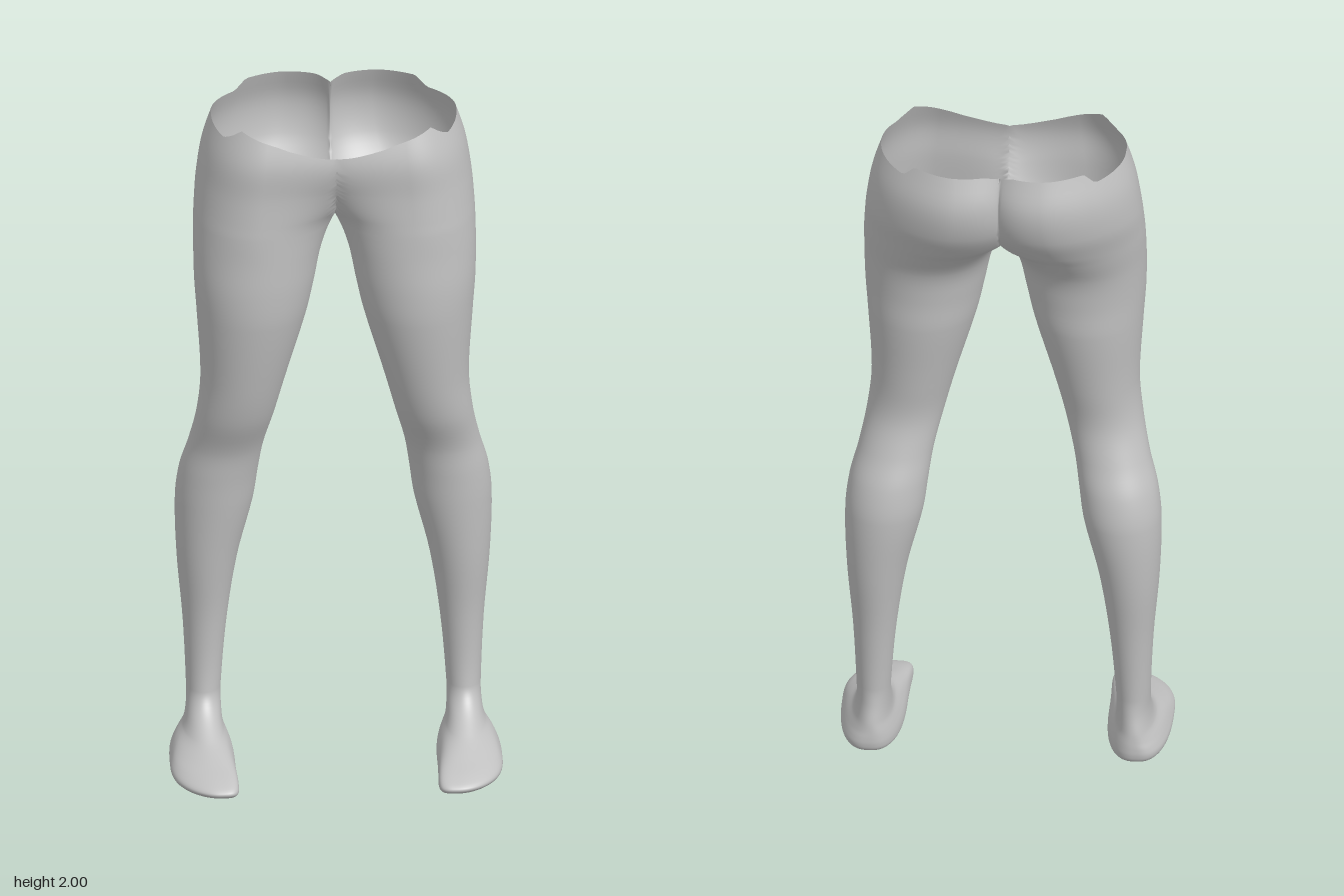
import * as THREE from 'three';
import { mergeVertices } from 'three/addons/utils/BufferGeometryUtils.js';

// Horizontal sections of the left leg, top to bottom:
// [y, outer x, inner x, front z, back z, centre x, centre z, inner x at back, back shift, front shift, squareness]
const HIPS = [
  [2.0, 0.338, -0.40, 0.125, -0.275, 0.19, -0.06, -0.05, -0.07],
  [1.9, 0.37, -0.40, 0.158, -0.305, 0.20, -0.06, -0.06, -0.08],
  [1.8, 0.387, -0.15, 0.16, -0.29, 0.21, -0.05, -0.06, -0.08],
  [1.72, 0.394, -0.03, 0.165, -0.245, 0.215, -0.03, -0.04, -0.06],
  [1.68, 0.396, 0.004, 0.168, -0.215, 0.218, -0.02, 0.004, -0.035],
];
const LEG = [
  [1.6, 0.397, 0.037, 0.171, -0.17],
  [1.5, 0.395, 0.058, 0.175, -0.153],
  [1.4, 0.388, 0.08, 0.17, -0.148],
  [1.2, 0.377, 0.138, 0.137, -0.12],
  [1.08, 0.388, 0.17, 0.108, -0.11],
  [0.97, 0.41, 0.198, 0.064, -0.137],
  [0.88, 0.434, 0.212, 0.05, -0.17],
  [0.78, 0.445, 0.226, 0.04, -0.186],
  [0.6, 0.44, 0.27, 0.02, -0.175],
  [0.4, 0.423, 0.30, -0.004, -0.148],
  [0.2, 0.414, 0.317, -0.002, -0.13],
];
const FOOT = [
  [0.15, 0.415, 0.317, 0.03, -0.133, 0.366, -0.05],
  [0.1, 0.425, 0.312, 0.115, -0.143, 0.37, -0.02, 0.312, 0, -0.01, 2.1],
  [0.07, 0.448, 0.297, 0.2, -0.147, 0.37, 0.04, 0.297, 0, -0.03, 2.3],
  [0.05, 0.46, 0.288, 0.265, -0.149, 0.375, 0.08, 0.288, 0, -0.045, 2.5],
  [0.03, 0.467, 0.284, 0.305, -0.149, 0.378, 0.1, 0.284, 0, -0.05, 2.6],
  [0.012, 0.46, 0.287, 0.295, -0.143, 0.377, 0.1, 0.287, 0, -0.05, 2.6],
  [0, 0.435, 0.305, 0.255, -0.125, 0.372, 0.09, 0.305, 0, -0.045, 2.6],
];

// Fill the optional values of a section
const KEYS = [...HIPS, ...LEG, ...FOOT].map(
  ([y, xo, xi, zf, zb, cx = (xo + xi) / 2, cz = (zf + zb) / 2, xb = xi, bs = 0, fs = 0, n = 2]) =>
    [y, xo, xi, zf, zb, cx, cz, xb, bs, fs, n]);

// Height of the wavy waist edge by angle around the hips (degrees, front = 90)
const RIM = [[-90, 1.98], [-80, 1.995], [-36, 2], [-30, 1.968], [0, 1.98], [22, 1.962],
  [27, 1.975], [32, 1.995], [58, 1.943], [75, 1.925], [90, 1.92]];

function rimHeight(x, z) {
  const a = THREE.MathUtils.radToDeg(Math.atan2(z + 0.06, x));
  for (let i = 1; i < RIM.length; i++) {
    const [a0, y0] = RIM[i - 1], [a1, y1] = RIM[i];
    if (a <= a1) return y0 + (y1 - y0) * Math.max(0, (a - a0) / (a1 - a0));
  }
  return RIM[RIM.length - 1][1];
}

// Smooth interpolation of the sections at height y
function sectionAt(y) {
  let i = 0;
  while (i < KEYS.length - 2 && y < KEYS[i + 1][0]) i++;
  const A = KEYS[i], B = KEYS[i + 1];
  const P = KEYS[Math.max(i - 1, 0)], Q = KEYS[Math.min(i + 2, KEYS.length - 1)];
  const h = B[0] - A[0], t = (y - A[0]) / h, t2 = t * t, t3 = t2 * t;
  return A.map((a, k) => {
    const b = B[k];
    const ma = (b - P[k]) / (B[0] - P[0]) * h, mb = (Q[k] - a) / (Q[0] - A[0]) * h;
    return (2 * t3 - 3 * t2 + 1) * a + (t3 - 2 * t2 + t) * ma + (3 * t2 - 2 * t3) * b + (t3 - t2) * mb;
  });
}

// Point on a section; the half body stops at the middle plane
function pointAt(y, angle) {
  const [, xo, xi, zf, zb, cx, cz, xb, bs, fs, n] = sectionAt(y);
  const c = Math.cos(angle), s = Math.sin(angle);
  const pc = Math.abs(c) ** (2 / n), ps = Math.abs(s) ** (2 / n);
  const inner = s >= 0 ? xi : xb;
  const x = cx + (c >= 0 ? xo - cx : inner - cx) * pc + (s >= 0 ? fs : bs) * s * s;
  const z = cz + (s >= 0 ? zf - cz : zb - cz) * ps;
  return [Math.max(0, x), y, z];
}

function bodyGeometry() {
  const COLS = 120, STEPS = 5, positions = [], index = [];
  const heights = [];
  for (let k = 0; k < KEYS.length - 1; k++)
    for (let s = 0; s < STEPS; s++) heights.push(KEYS[k][0] + (KEYS[k + 1][0] - KEYS[k][0]) * s / STEPS);
  heights.push(0);

  for (const side of [1, -1]) {
    const base = positions.length / 3;
    const add = (p) => positions.push(side * p[0], p[1], p[2]);
    const tri = (a, b, c) => {
      // Leave the middle plane open so both halves join
      if ([a, b, c].every((v) => Math.abs(positions[v * 3]) < 1e-6)) return;
      if (side > 0) index.push(a, b, c); else index.push(a, c, b);
    };
    for (const y0 of heights)
      for (let j = 0; j < COLS; j++) {
        const angle = (j / COLS) * Math.PI * 2;
        let y = y0;
        if (y0 > 1.8) {
          const [x, , z] = pointAt(1.97, angle);
          y = 1.8 + (y0 - 1.8) / 0.2 * (rimHeight(x, z) - 1.8);
        }
        add(pointAt(y, angle));
      }
    for (let i = 0; i < heights.length - 1; i++)
      for (let j = 0; j < COLS; j++) {
        const j1 = (j + 1) % COLS;
        const a = base + i * COLS + j, b = base + i * COLS + j1;
        tri(a, b, a + COLS);
        tri(b, b + COLS, a + COLS);
      }
    // Sole, slightly arched
    const last = base + (heights.length - 1) * COLS, centre = positions.length / 3;
    add([0.365, 0.006, 0.06]);
    for (let j = 0; j < COLS; j++) tri(last + j, last + (j + 1) % COLS, centre);
  }

  const geometry = new THREE.BufferGeometry();
  geometry.setAttribute('position', new THREE.Float32BufferAttribute(positions, 3));
  geometry.setIndex(index);
  const merged = mergeVertices(geometry, 1e-5);
  merged.computeVertexNormals();
  return merged;
}

export function createModel() {
  const group = new THREE.Group();
  group.name = 'lowerBody';
  const grey = new THREE.MeshStandardMaterial({ color: 0xc0c0c0, side: THREE.DoubleSide });
  grey.name = 'light grey';
  const body = new THREE.Mesh(bodyGeometry(), grey);
  body.name = 'hipsLegsAndFeet';
  group.add(body);
  return group;
}
